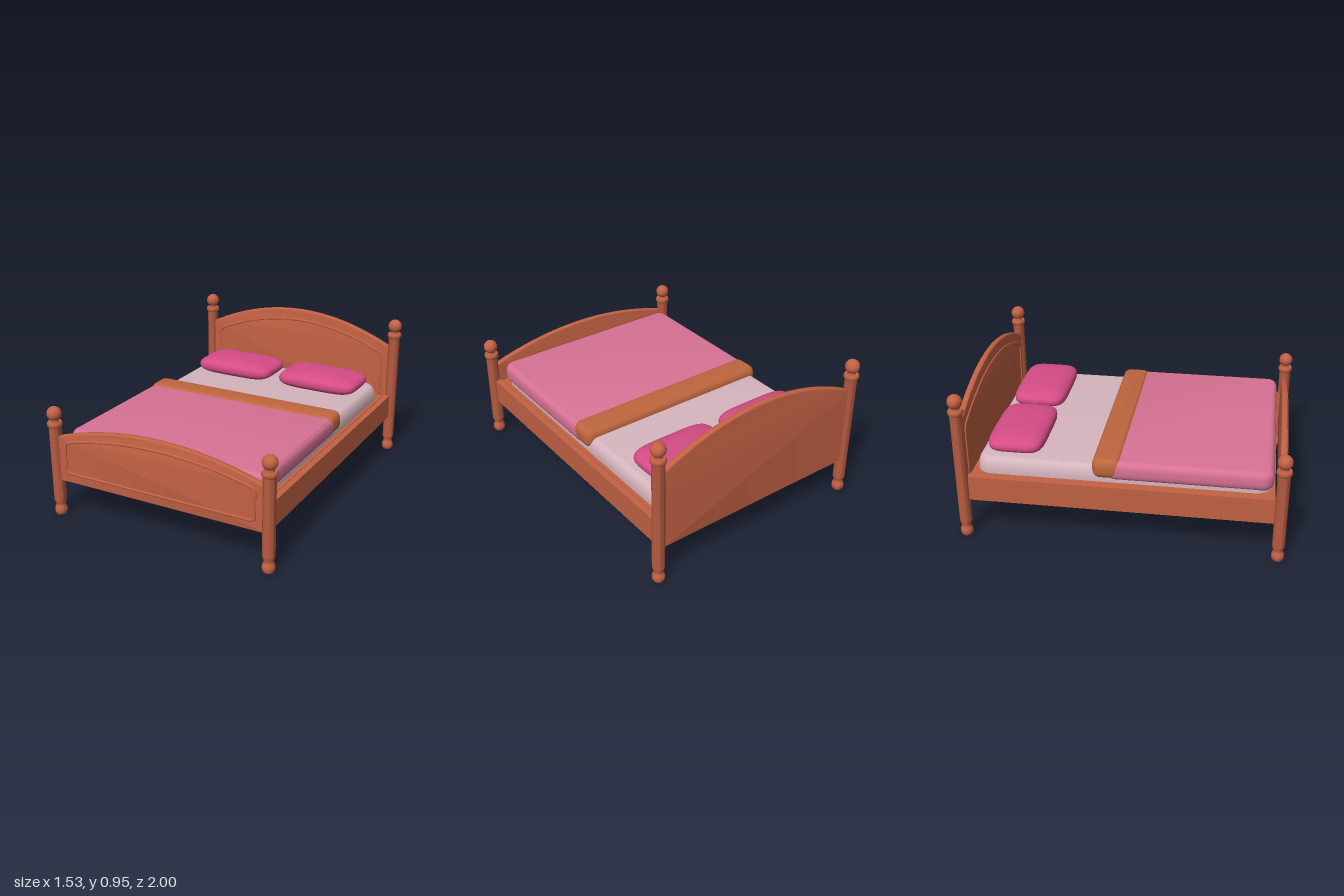
import * as THREE from 'three';
import { toCreasedNormals } from 'three/addons/utils/BufferGeometryUtils.js';

const material = (name, color) => Object.assign(new THREE.MeshStandardMaterial({ color }), { name });

// Arched outline: flat bottom, parabolic top, corners rounded by r
function archOutline(path, hw, y0, ySide, yMid, r) {
  const x = hw - r;
  const yTop = yMid - (yMid - ySide) * (x / hw) ** 2;
  path.moveTo(-x, y0);
  path.lineTo(x, y0);
  path.quadraticCurveTo(hw, y0, hw, y0 + r);
  path.lineTo(hw, ySide - r);
  path.quadraticCurveTo(hw, ySide, x, yTop);
  path.quadraticCurveTo(0, 2 * yMid - yTop, -x, yTop);
  path.quadraticCurveTo(-hw, ySide, -hw, ySide - r);
  path.lineTo(-hw, y0 + r);
  path.quadraticCurveTo(-hw, y0, -x, y0);
  return path;
}

// Horizontal slab with rounded plan corners and softly rolled edges
function softSlab(w, d, h, corner, rollOut, rollUp) {
  const x = w / 2, z = d / 2, c = corner;
  const s = new THREE.Shape();
  s.moveTo(c - x, -z);
  s.absarc(x - c, c - z, c, -Math.PI / 2, 0);
  s.absarc(x - c, z - c, c, 0, Math.PI / 2);
  s.absarc(c - x, z - c, c, Math.PI / 2, Math.PI);
  s.absarc(c - x, c - z, c, Math.PI, Math.PI * 1.5);
  const geo = new THREE.ExtrudeGeometry(s, {
    depth: h - 2 * rollUp, bevelThickness: rollUp, bevelSize: rollOut,
    bevelOffset: -rollOut, bevelSegments: 6, curveSegments: 8,
  });
  geo.rotateX(-Math.PI / 2).translate(0, rollUp, 0);
  return toCreasedNormals(geo, 0.7);
}

// Pillow: a sphere squared off in plan and slightly in height
function pillowGeometry(a, b, c) {
  const geo = new THREE.SphereGeometry(1, 48, 24);
  const p = geo.attributes.position;
  const pow = (v, e) => Math.sign(v) * Math.abs(v) ** e;
  for (let i = 0; i < p.count; i++) {
    const x = p.getX(i), y = p.getY(i), z = p.getZ(i);
    const ring = Math.hypot(x, z);
    const k = ring > 1e-6 ? ring ** 0.75 : 0;
    p.setXYZ(i, k ? a * k * pow(x / ring, 0.4) : 0, b * pow(y, 0.8), k ? c * k * pow(z / ring, 0.4) : 0);
  }
  geo.computeVertexNormals();
  return geo;
}

export function createModel() {
  const bed = new THREE.Group();
  bed.name = 'bed';
  const wood = material('wood', 0xc26144);
  const sheet = material('sheet', 0xd6b5be);
  const blanket = material('blanket', 0xd87294);
  const fold = material('blanketFold', 0xbe663e);
  const pillow = material('pillow', 0xd54c85);

  const add = (name, geo, mat, x = 0, y = 0, z = 0) => {
    const mesh = new THREE.Mesh(geo, mat);
    mesh.name = name;
    mesh.position.set(x, y, z);
    bed.add(mesh);
    return mesh;
  };

  // Turned post with foot, collar and ball; ballY is the ball centre
  const addPost = (name, x, z, ballY) => {
    const profile = [
      [0, 0], [0.03, 0], [0.037, 0.012], [0.039, 0.028], [0.036, 0.045], [0.028, 0.06],
      [0.029, 0.072], [0.036, 0.092], [0.038, 0.1], [0.038, ballY - 0.085],
      [0.046, ballY - 0.075], [0.047, ballY - 0.06], [0.042, ballY - 0.05],
      [0.026, ballY - 0.05], [0.024, ballY - 0.03], [0, ballY - 0.03],
    ].map(([r, y]) => new THREE.Vector2(r, y));
    add(name, toCreasedNormals(new THREE.LatheGeometry(profile, 28), 0.7), wood, x, 0, z);
    add(name + 'Ball', new THREE.SphereGeometry(0.045, 28, 18), wood, x, ballY, z);
  };

  // Arched board with a raised moulding on its front face
  const addBoard = (name, z, ySide, yMid, panelSide, panelMid) => {
    const board = new THREE.ExtrudeGeometry(
      archOutline(new THREE.Shape(), 0.7, 0.235, ySide, yMid, 0.005),
      { depth: 0.016, bevelThickness: 0.011, bevelSize: 0.011, bevelOffset: -0.011, bevelSegments: 4, curveSegments: 32 });
    add(name, toCreasedNormals(board, 0.6), wood, 0, 0, z - 0.008);
    const ring = archOutline(new THREE.Shape(), 0.648, 0.292, panelSide, panelMid, 0.035);
    ring.holes.push(archOutline(new THREE.Path(), 0.632, 0.308, panelSide - 0.014, panelMid - 0.016, 0.028));
    const moulding = new THREE.ExtrudeGeometry(ring, {
      depth: 0.008, bevelThickness: 0.005, bevelSize: 0.005, bevelOffset: -0.005, bevelSegments: 3, curveSegments: 32,
    });
    add(name + 'Moulding', toCreasedNormals(moulding, 0.7), wood, 0, 0, z + 0.014);
  };

  // Wooden frame
  for (const [side, s] of [['left', 1], ['right', -1]]) {
    addPost(side + 'HeadPost', s * 0.72, -0.955, 0.91);
    addPost(side + 'FootPost', s * 0.72, 0.955, 0.665);
    add(side + 'Rail', new THREE.BoxGeometry(0.04, 0.16, 1.88), wood, s * 0.705, 0.33, 0);
  }
  addBoard('headboard', -0.955, 0.757, 0.935, 0.715, 0.867);
  addBoard('footboard', 0.952, 0.525, 0.642, 0.502, 0.59);
  add('base', new THREE.BoxGeometry(1.355, 0.14, 1.83), wood, 0, 0.335, 0);

  // Bedding
  add('mattress', softSlab(1.31, 1.79, 0.195, 0.1, 0.045, 0.08), sheet, 0, 0.31, 0.005);
  add('blanket', softSlab(1.34, 1.01, 0.125, 0.07, 0.035, 0.05), blanket, 0, 0.42, 0.4);
  add('blanketFold', softSlab(1.345, 0.18, 0.125, 0.05, 0.035, 0.05), fold, 0, 0.43, -0.085);
  for (const [side, s] of [['left', 1], ['right', -1]]) {
    add(side + 'Pillow', pillowGeometry(0.285, 0.064, 0.175), pillow, s * 0.318, 0.553, -0.665);
  }
  return bed;
}
